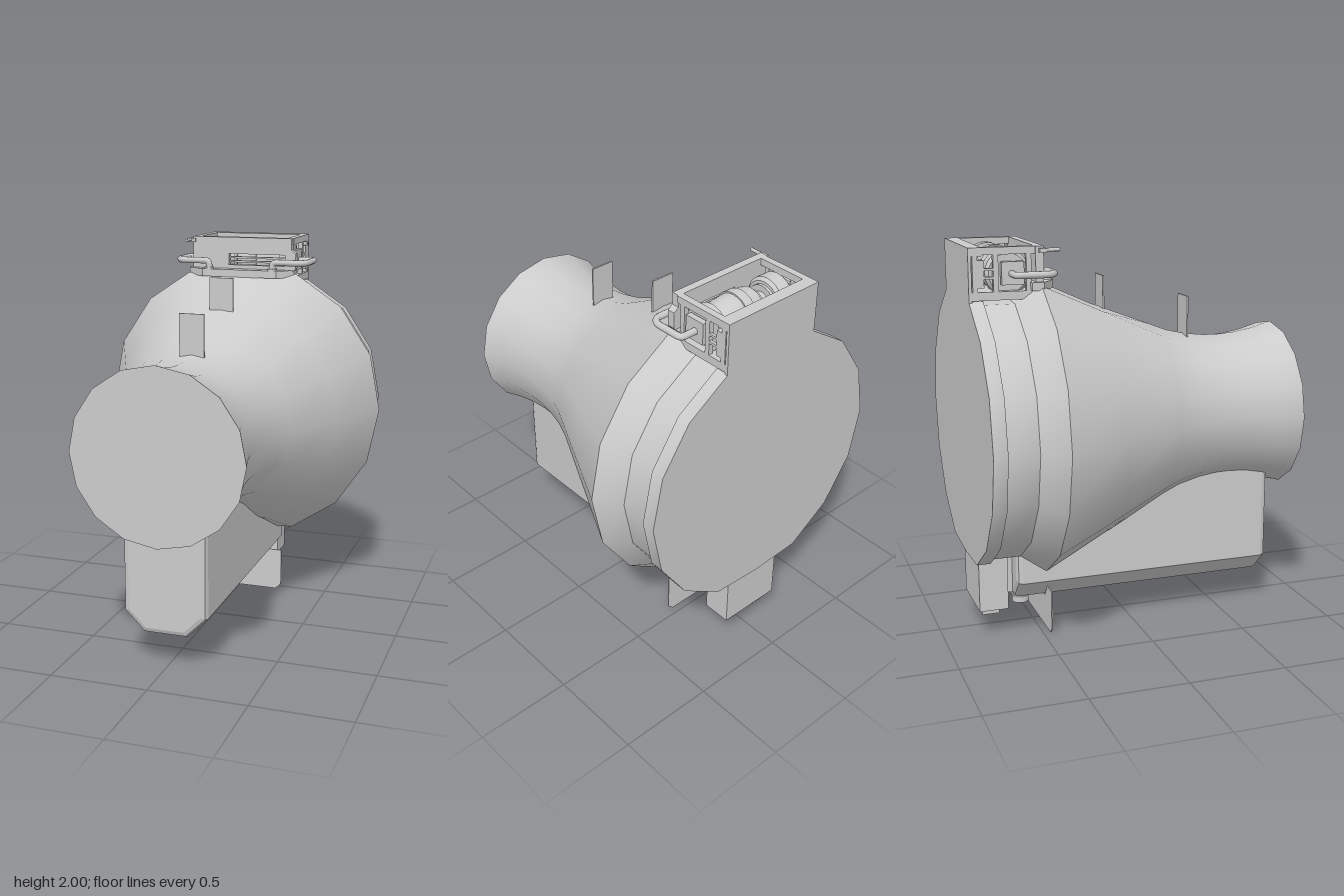
import * as THREE from 'three';
import { toCreasedNormals } from 'three/addons/utils/BufferGeometryUtils.js';

export function createModel() {
  const root = new THREE.Group();
  const mat = new THREE.MeshStandardMaterial({ color: 0xcccccc, side: THREE.DoubleSide });

  const add = (name, geo, x = 0, y = 0, z = 0, parent = root) => {
    const m = new THREE.Mesh(geo, mat);
    m.name = name;
    m.position.set(x, y, z);
    parent.add(m);
    return m;
  };
  // Box given by its minimum and maximum corners
  const box = (name, x0, x1, y0, y1, z0, z1, parent) =>
    add(name, new THREE.BoxGeometry(x1 - x0, y1 - y0, z1 - z0), (x0 + x1) / 2, (y0 + y1) / 2, (z0 + z1) / 2, parent);
  const lathe = (pts, sides) => new THREE.LatheGeometry(pts.map(([r, a]) => new THREE.Vector2(r, a)), sides);
  const shape = pts => new THREE.Shape(pts.map(([x, y]) => new THREE.Vector2(x, y)));

  // Flared drum: sixteen-sided lathe along z, top and bottom slightly flattened at the wide end
  const drum = lathe([
    [0, -0.85], [0.71, -0.85], [0.71, -0.78], [0.69, -0.78], [0.69, -0.625], [0.78, -0.5],
    [0.62, -0.17], [0.46, 0.16], [0.425, 0.25], [0.4, 0.36], [0.388, 0.46], [0.386, 0.54],
    [0.393, 0.64], [0.41, 0.74], [0.44, 0.85], [0, 0.85],
  ], 16);
  drum.rotateX(Math.PI / 2);
  const p = drum.attributes.position;
  for (let i = 0; i < p.count; i++) {
    const r = Math.hypot(p.getX(i), p.getY(i));
    if (r > 0.5 && Math.abs(p.getX(i)) < 0.01) p.setY(i, p.getY(i) * 0.945);
  }
  add('drumBody', toCreasedNormals(drum, 0.5), 0, 1.09, 0);

  // Keel housing under the drum, chamfered below and bevelled at its ends
  const keel = new THREE.ExtrudeGeometry(
    shape([[-0.215, 0.85], [-0.215, 0.28], [-0.11, 0.175], [0.11, 0.175], [0.215, 0.28], [0.215, 0.85]]),
    { depth: 1.33, bevelEnabled: true, bevelSize: 0.03, bevelThickness: 0.03, bevelOffset: -0.03, bevelSegments: 2 });
  add('keelHousing', keel, 0, 0, -0.6);

  // Thin cross plate with clipped lower corners and a notch for the keel
  add('crossPlate', new THREE.ExtrudeGeometry(
    shape([[-0.25, 0.235], [-0.25, 0.03], [-0.22, 0], [0.22, 0], [0.25, 0.03], [0.25, 0.235],
      [0.17, 0.235], [0.12, 0.17], [-0.12, 0.17], [-0.17, 0.235]]),
    { depth: 0.006, bevelEnabled: false }), 0, 0, -0.463);

  // Drain plug and rear connector block
  add('drainPlugCollar', new THREE.CylinderGeometry(0.07, 0.045, 0.045, 16), 0, 0.16, -0.565);
  add('drainPlug', new THREE.CylinderGeometry(0.045, 0.045, 0.035, 16), 0, 0.127, -0.565);
  box('connectorNeck', -0.1, 0.1, 0.2, 0.45, -0.68, -0.62);
  box('rearBlock', -0.17, 0.17, 0.14, 0.45, -0.82, -0.67);
  for (const s of [-1, 1]) box('rearBlockFoot', s * 0.085 - 0.05, s * 0.085 + 0.05, 0.108, 0.14, -0.8, -0.71);

  // Sight plates on top of the drum
  box('frontSight', -0.065, 0.065, 1.47, 1.695, 0.341, 0.349);
  box('rearSight', -0.065, 0.065, 1.6, 1.82, -0.119, -0.111);

  // Top cage
  const cage = new THREE.Group();
  cage.name = 'topCage';
  root.add(cage);
  box('cageBackPlate', -0.28, 0.28, 1.7, 2, -0.85, -0.835, cage);
  box('cageBackRail', -0.28, 0.28, 1.96, 2, -0.85, -0.785, cage);
  box('cageFloor', -0.28, 0.28, 1.75, 1.79, -0.85, -0.5, cage);
  const plate = shape([[-0.285, 2], [-0.285, 1.81], [0.275, 1.81], [0.3, 1.84], [0.3, 1.92], [0.275, 1.94], [0.275, 2]]);
  plate.holes.push(shape([[-0.08, 1.85], [0.24, 1.85], [0.24, 1.91], [-0.08, 1.91]]));
  add('cageFrontPlate', new THREE.ExtrudeGeometry(plate, { depth: 0.04, bevelEnabled: false }), 0, 0, -0.525, cage);
  for (let i = 0; i < 2; i++) box('slotBar', -0.08, 0.24, 1.863 + i * 0.022, 1.873 + i * 0.022, -0.515, -0.495, cage);
  // Sloped shelf in front of the cage
  const shelf = new THREE.ExtrudeGeometry(
    shape([[-0.31, 0.55], [-0.31, 0.49], [-0.21, 0.42], [0.21, 0.42], [0.29, 0.49], [0.29, 0.55]]),
    { depth: 0.04, bevelEnabled: false });
  shelf.rotateX(-Math.PI / 2).scale(1, 1, 1);
  add('cageShelf', shelf, 0, 1.79, 0, cage);

  for (const s of [-1, 1]) {
    const side = (name, w, y0, y1, z0, z1) =>
      box(name, Math.min(s * 0.28, s * (0.28 - w)), Math.max(s * 0.28, s * (0.28 - w)), y0, y1, z0, z1, cage);
    side('cageTopRail', 0.035, 1.965, 2, -0.835, -0.52);
    for (const z of [-0.83, -0.73, -0.57]) side('cagePost', 0.025, 1.79, 1.965, z, z + 0.025);
    side('sideBracket', 0.03, 1.82, 1.93, -0.69, -0.58);
    side('sideLug', 0.04, 1.81, 1.94, -0.815, -0.775);
    for (const y of [1.85, 1.89]) side('sideRod', 0.015, y, y + 0.012, -0.79, -0.71);

    // Bent carrying handle with rounded corners
    const pts = [[0.18, 1.79, -0.445], [0.18, 1.873, -0.445], [0.335, 1.873, -0.445], [0.365, 1.873, -0.48],
      [0.365, 1.873, -0.64], [0.25, 1.873, -0.64]].map(([x, y, z]) => new THREE.Vector3(s * x, y, z));
    const path = new THREE.CurvePath();
    let last = pts[0];
    for (let i = 1; i < pts.length - 1; i++) {
      const toward = q => pts[i].clone().add(q.clone().sub(pts[i]).setLength(0.022));
      const a = toward(pts[i - 1]), b = toward(pts[i + 1]);
      path.add(new THREE.LineCurve3(last, a));
      path.add(new THREE.QuadraticBezierCurve3(a, pts[i], b));
      last = b;
    }
    path.add(new THREE.LineCurve3(last, pts[pts.length - 1]));
    add('handle', new THREE.TubeGeometry(path, 60, 0.017, 10), 0, 0, 0, cage);
    add('handleFoot', new THREE.CylinderGeometry(0.026, 0.03, 0.05, 12), s * 0.18, 1.815, -0.445, cage);
  }
  const pin = new THREE.CylinderGeometry(0.009, 0.009, 0.08, 8).rotateX(Math.PI / 2);
  add('latchPin', pin, -0.3, 1.982, -0.45, cage);
  box('latchTab', -0.31, -0.27, 1.97, 1.99, -0.51, -0.475, cage);

  // Turned spool lying across the cage
  const spool = lathe([
    [0, -0.24], [0.095, -0.24], [0.11, -0.225], [0.11, -0.155], [0.095, -0.14], [0.08, -0.14], [0.08, -0.125],
    [0.05, -0.125], [0.05, -0.075], [0.08, -0.075], [0.08, -0.06], [0.1, -0.05], [0.105, 0.01], [0.112, 0.01],
    [0.112, 0.06], [0.105, 0.06], [0.1, 0.12], [0.08, 0.19], [0.108, 0.19], [0.108, 0.24], [0, 0.24],
  ], 24);
  spool.rotateZ(-Math.PI / 2);
  add('spool', toCreasedNormals(spool, 0.5), 0, 1.872, -0.65, cage);
  // Hooked wire behind the spool
  const wire = new THREE.CatmullRomCurve3([[-0.1, -0.78], [-0.1, -0.72], [-0.085, -0.7], [-0.085, -0.65]]
    .map(([x, z]) => new THREE.Vector3(x, 1.9, z)));
  add('hookWire', new THREE.TubeGeometry(wire, 16, 0.008, 6), 0, 0, 0, cage);

  return root;
}
